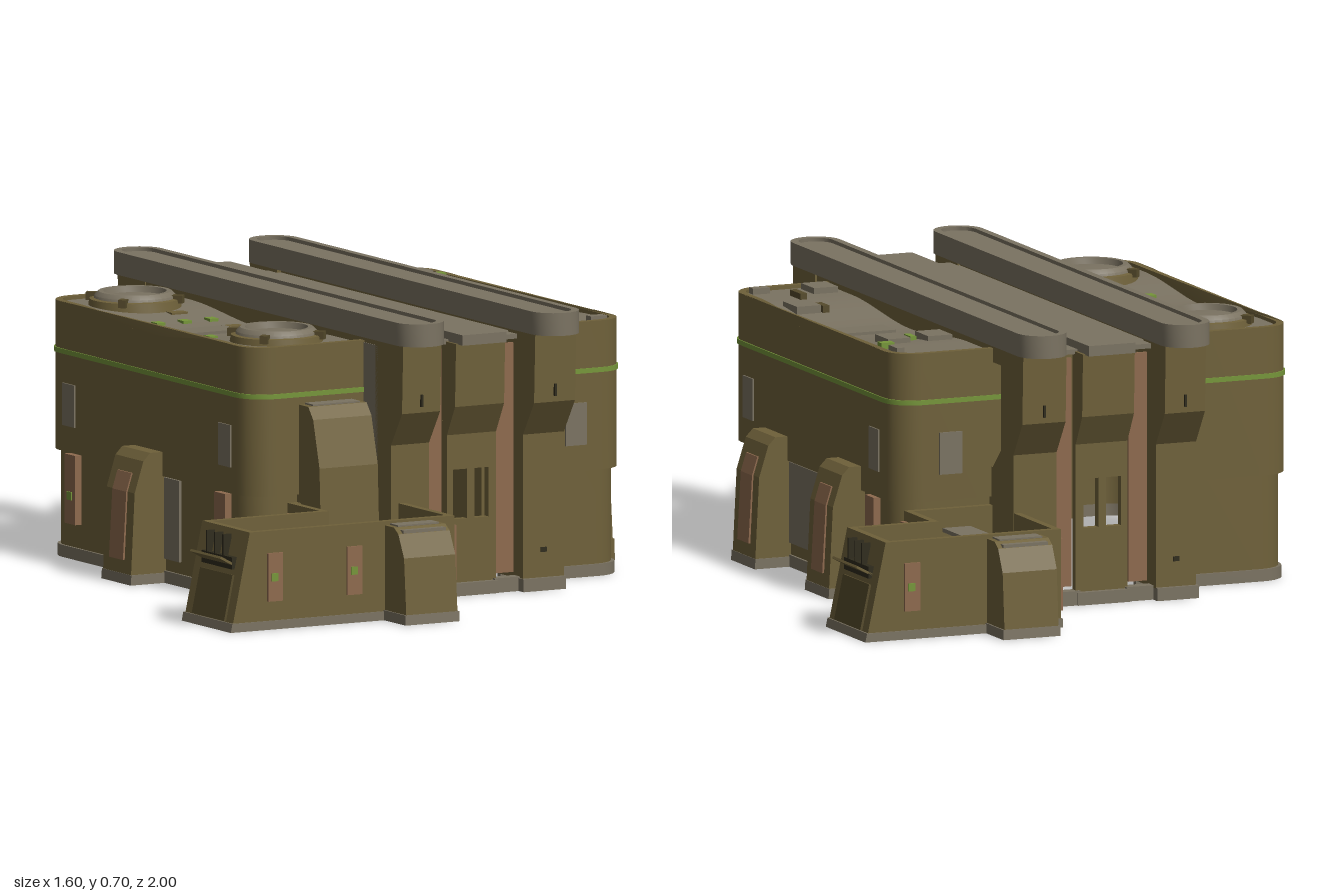
import * as THREE from 'three';
import { toCreasedNormals } from 'three/addons/utils/BufferGeometryUtils.js';

const mat = (name, color) => Object.assign(new THREE.MeshStandardMaterial({ color }), { name });
const olive = mat('olive', 0x6f613a);
const grey = mat('grey', 0x7b7362);
const rust = mat('rust', 0x8e6a4e);
const green = mat('green', 0x76963a);
const dark = mat('dark', 0x2f2b1c);
const shade = mat('dark olive', 0x564b2c);
grey.side = THREE.DoubleSide;

const add = (parent, name, geo, m) => {
  const mesh = new THREE.Mesh(geo, m);
  mesh.name = name;
  parent.add(mesh);
  return mesh;
};
const box = (p, name, m, x0, x1, y0, y1, z0, z1) =>
  add(p, name, new THREE.BoxGeometry(x1 - x0, y1 - y0, z1 - z0)
    .translate((x0 + x1) / 2, (y0 + y1) / 2, (z0 + z1) / 2), m);

// plan outline [x, z] raised from y0 to y1, with an optional hole
function planGeo(pts, y0, y1, hole) {
  const wind = (a, clockwise) => {
    const v = a.map(([x, z]) => new THREE.Vector2(x, -z));
    return THREE.ShapeUtils.isClockWise(v) === clockwise ? v : v.reverse();
  };
  const s = new THREE.Shape(wind(pts, false));
  if (hole) s.holes.push(new THREE.Path(wind(hole, true)));
  return new THREE.ExtrudeGeometry(s, { depth: y1 - y0, bevelEnabled: false })
    .rotateX(-Math.PI / 2).translate(0, y0, 0);
}
// side profile [z, y] swept from x0 to x1
function sideGeo(pts, x0, x1) {
  const s = new THREE.Shape(pts.map(([z, y]) => new THREE.Vector2(z, y)));
  return new THREE.ExtrudeGeometry(s, { depth: x1 - x0, bevelEnabled: false })
    .rotateY(-Math.PI / 2).translate(x1, 0, 0);
}
function bend(geo, rule) {
  const p = geo.attributes.position, v = new THREE.Vector3();
  for (let i = 0; i < p.count; i++) {
    rule(v.fromBufferAttribute(p, i));
    p.setXYZ(i, v.x, v.y, v.z);
  }
  geo.computeVertexNormals();
  return geo;
}
const smooth = (geo) => toCreasedNormals(geo, 0.6);

// the roof line sags in the middle
const sag = (z) => (Math.abs(z) < 0.36 ? 0.013 * (1 + Math.cos(Math.PI * z / 0.36)) : 0);

// three-sided path round a block, open towards the spine at xi
function podPath(xi, xo, zr, r) {
  const s = Math.sign(xo - xi), pts = [[xi, -zr]], n = 20;
  const corner = (k, a) => pts.push([xo - s * r * (1 - Math.cos(a)), k * (zr - r + r * Math.sin(a))]);
  for (let i = 6; i > 0; i--) corner(-1, i / 6 * Math.PI / 2);
  for (let i = 0; i <= n; i++) pts.push([xo, (zr - r) * (2 * i / n - 1)]);
  for (let i = 1; i <= 6; i++) corner(1, i / 6 * Math.PI / 2);
  pts.push([xi, zr]);
  return pts;
}

function pod(parent, name, xi, xo) {
  const g = new THREE.Group(), s = Math.sign(xo - xi);
  g.name = name;
  parent.add(g);
  // wall of thickness t, standing out from the block face by o
  const wallGeo = (o, t, y0, y1) => planGeo([...podPath(xi, xo + s * o, 0.51 + o, 0.075),
    ...podPath(xi, xo + s * (o - t), 0.51 + o - t, 0.075 - t).reverse()], y0, y1);
  add(g, 'plinth', smooth(wallGeo(-0.004, 0.015, 0, 0.03)), grey);
  add(g, 'lowerWall', smooth(wallGeo(-0.01, 0.01, 0.03, 0.27)), olive);
  add(g, 'upperWall', smooth(bend(wallGeo(0, 0.018, 0.265, 0.635), (v) => { if (v.y > 0.5) v.y -= sag(v.z); })), olive);
  add(g, 'lightStripe', smooth(wallGeo(0.003, 0.006, 0.507, 0.519)), green);
  // roof sheet, narrowed at its rounded ends
  const roof = new THREE.PlaneGeometry(1, 0.99, 1, 60).rotateX(-Math.PI / 2);
  add(g, 'roof', bend(roof, (v) => {
    const e = Math.max(0, Math.abs(v.z) - 0.435), cut = 0.06 - Math.sqrt(Math.max(0, 0.0036 - e * e));
    const lo = Math.min(xi, xo) + 0.012, hi = Math.max(xi, xo) - 0.012;
    const outer = v.x * s > 0;
    v.x = (v.x > 0 ? hi : lo) - (outer ? s * cut : 0);
    v.y = 0.626 - sag(v.z);
  }), grey);
  // side windows, vents and loading panel
  const onSide = (n, m, out, y0, y1, z0, z1) =>
    box(g, n, m, Math.min(xo - s * 0.012, xo + s * out), Math.max(xo - s * 0.012, xo + s * out), y0, y1, z0, z1);
  for (const k of [-1, 1]) {
    onSide('sideWindow', grey, 0.004, 0.33, 0.435, k * 0.385 - 0.03, k * 0.385 + 0.03);
    onSide('sideVent', rust, 0.008, 0.09, 0.262, k * 0.37 - 0.027, k * 0.37 + 0.027);
    onSide('ventLight', green, 0.011, 0.15, 0.17, k * 0.37 - 0.012, k * 0.37 + 0.012);
  }
  onSide('loadingPanel', grey, -0.004, 0.06, 0.262, -0.15, 0.15);
  return g;
}

// sloped buttress: back against z = 0, leaning out along +z
function buttress(parent, name, w, h, d, panel) {
  const g = new THREE.Group();
  g.name = name;
  parent.add(g);
  const prof = [[-0.02, 0], [d, 0], [d * 0.88, h * 0.7], [d * 0.62, h * 0.94], [d * 0.42, h], [-0.02, h]];
  add(g, 'buttressBody', sideGeo(prof, -w / 2, w / 2), olive);
  add(g, 'buttressFoot', sideGeo([[0, 0], [d + 0.002, 0], [d, 0.025], [0, 0.025]], -w / 2 - 0.004, w / 2 + 0.004), grey);
  if (panel) {
    add(g, 'buttressPanel', sideGeo([[0, h * 0.18], [d * 0.97 + 0.005, h * 0.18], [d * 0.88 + 0.004, h * 0.7],
      [d * 0.75 + 0.002, h * 0.84], [0, h * 0.84]], -w * 0.25, w * 0.25), rust);
  } else {
    box(g, 'buttressCap', grey, -w * 0.4, w * 0.4, h, h + 0.004, 0, d * 0.38);
  }
  return g;
}

// open-topped outer yard; d moves its inner part away from the spine
function annex(parent, name, d) {
  const g = new THREE.Group();
  g.name = name;
  parent.add(g);
  const n = -0.41 - d, i = -0.16 - d, t = 0.018, H = 0.245;
  const outline = (e) => [[-0.74 + e, 0.655 + e], [n + e, 0.655 + e], [n + e, 0.5 + e], [i - e, 0.5 + e],
    [i - e, 0.89 - e], [-0.74 + e, 0.89 - e]];
  const slope = (geo) => bend(geo, (v) => { if (v.x < -0.7) v.x -= 0.052 * (1 - v.y / H); });
  add(g, 'yardWall', slope(planGeo(outline(0), 0.02, H, outline(t))), olive);
  add(g, 'yardSill', slope(planGeo(outline(-0.004), 0, 0.022, outline(0.012))), grey);
  box(g, 'innerPlate', grey, -0.32 - d, -0.245 - d, 0.19, 0.2, 0.7, 0.84);
  box(g, 'innerPlate', grey, -0.32 - d, -0.245 - d, 0.19, 0.2, 0.53, 0.66);
  box(g, 'innerBench', grey, -0.69, -0.615, 0.16, 0.17, 0.7, 0.84);
  box(g, 'benchBack', olive, -0.735, -0.69, 0.16, 0.2, 0.7, 0.84);
  const b = buttress(g, 'yardButtress', 0.145, 0.235, 0.108, false);
  b.position.set(-0.285 - d, 0, 0.89);
  box(g, 'buttressSlot', grey, -0.345 - d, -0.225 - d, 0.222, 0.23, 0.935, 0.96);
  // wall vents
  for (const x of d ? [-0.67] : [-0.67, -0.445]) {
    box(g, 'frontVent', rust, x - 0.021, x + 0.021, 0.07, 0.19, 0.89, 0.896);
    box(g, 'ventLight', green, x - 0.012, x + 0.006, 0.12, 0.14, 0.89, 0.899);
  }
  for (const z of [0.755, 0.853]) box(g, 'innerVent', rust, i, i + 0.009, 0.04, 0.22, z - 0.031, z + 0.031);
  for (const z of [0.535, 0.608]) box(g, 'neckVent', rust, n - 0.012, n, 0.04, 0.22, z - 0.03, z + 0.03);
  // end gate with vent, hood and prongs
  const gate = add(g, 'endGate', new THREE.BoxGeometry(0.008, 0.115, 0.16), shade);
  gate.position.set(-0.777, 0.08, 0.775);
  gate.rotation.z = -0.21;
  box(g, 'gateVent', dark, -0.768, -0.75, 0.15, 0.18, 0.7, 0.85);
  const hood = add(g, 'gateHood', new THREE.BoxGeometry(0.058, 0.006, 0.15), olive);
  hood.position.set(-0.774, 0.168, 0.775);
  hood.rotation.z = -0.5;
  for (const z of [0.725, 0.765, 0.805]) box(g, 'prong', dark, -0.768, -0.745, 0.17, 0.232, z - 0.003, z + 0.003);
  return g;
}

// long plan shape with half-round ends
function stadium(x, w, len) {
  const r = w / 2, pts = [];
  for (const s of [1, -1]) for (let k = 0; k <= 12; k++) {
    const a = k / 12 * Math.PI;
    pts.push([x + s * r * Math.cos(a), s * (len - r + r * Math.sin(a))]);
  }
  return pts;
}

export function createModel() {
  const root = new THREE.Group();
  root.name = 'fortifiedBuilding';
  const left = pod(root, 'hatchBlock', -0.10, -0.52);
  const right = pod(root, 'serviceBlock', 0.19, 0.548);

  // front and back windows of the service block
  for (const z of [0.512, -0.512]) box(right, 'endWindow', grey, 0.37, 0.43, 0.33, 0.435, z - 0.003, z + 0.003);
  box(right, 'cornerStep', olive, 0.52, 0.562, 0.02, 0.075, 0.39, 0.42);

  // roof hatches
  for (const z of [-0.35, 0.35]) {
    const h = new THREE.Group();
    h.name = 'roofHatch';
    h.position.set(-0.355, 0, z);
    left.add(h);
    const lathe = (pts) => smooth(new THREE.LatheGeometry(pts.map(([x, y]) => new THREE.Vector2(x, y)), 32));
    add(h, 'hatchBase', lathe([[0.118, 0.61], [0.112, 0.642], [0.095, 0.645]]), olive);
    add(h, 'hatchRing', lathe([[0.104, 0.63], [0.1, 0.65], [0.09, 0.66], [0.078, 0.66], [0.074, 0.645], [0, 0.65]]), grey);
    for (let k = 0; k < 4; k++) {
      const c = add(h, 'hatchClamp', new THREE.BoxGeometry(0.03, 0.02, 0.02), shade);
      const a = k * Math.PI / 2 + Math.PI / 4;
      c.position.set(0.108 * Math.cos(a), 0.643, 0.108 * Math.sin(a));
      c.rotation.y = -a;
    }
  }
  // roof fittings: [x, z, width, depth, height, material]
  const fit = (p, n, [x, z, w, d, h, m]) => {
    const y = 0.626 - sag(z);
    box(p, n, m, x - w / 2, x + w / 2, y - 0.01, y + h, z - d / 2, z + d / 2);
  };
  for (const x of [-0.415, -0.34, -0.265]) for (const z of [-0.13, 0.13]) fit(left, 'roofLight', [x, z, 0.024, 0.03, 0.006, green]);
  fit(left, 'roofPlate', [-0.35, 0, 0.14, 0.08, 0.008, grey]);
  for (const [x, z] of [[-0.43, -0.075], [-0.31, -0.22], [-0.25, -0.05]]) fit(left, 'wornPatch', [x, z, 0.045, 0.03, 0.003, olive]);
  [[0.41, 0, 0.14, 0.08, 0.008, grey], [0.335, -0.26, 0.065, 0.08, 0.015, grey], [0.445, -0.26, 0.06, 0.08, 0.015, grey],
    [0.39, -0.24, 0.016, 0.04, 0.012, green], [0.465, 0.25, 0.065, 0.085, 0.015, grey], [0.335, 0.44, 0.065, 0.08, 0.015, grey],
    [0.42, 0.375, 0.018, 0.065, 0.015, shade], [0.485, 0.465, 0.045, 0.025, 0.015, grey], [0.42, 0.23, 0.018, 0.05, 0.015, shade],
    [0.505, -0.42, 0.02, 0.05, 0.015, grey], [0.505, -0.355, 0.035, 0.025, 0.015, green],
  ].forEach((f) => fit(right, 'roofFitting', f));

  // central spine: twin beams on columns
  const spine = new THREE.Group();
  spine.name = 'spine';
  root.add(spine);
  for (const x of [-0.148, 0.235]) {
    add(spine, 'beam', smooth(planGeo(stadium(x, 0.126, 0.752), 0.645, 0.702, stadium(x, 0.088, 0.733))), grey);
    add(spine, 'beamDeck', smooth(planGeo(stadium(x, 0.09, 0.734), 0.645, 0.693)), grey);
    box(spine, 'beamWeb', olive, x - 0.05, x + 0.05, 0.6, 0.646, -0.57, 0.57);
  }
  box(spine, 'spineRoof', grey, -0.1, 0.19, 0.625, 0.637, -0.615, 0.615);
  box(spine, 'spineRidge', grey, -0.02, 0.105, 0.63, 0.656, -0.685, 0.685);
  box(spine, 'gapPanel', grey, -0.2, -0.19, 0.34, 0.63, 0.505, 0.58);
  const end = (name, turn) => {
    const g = new THREE.Group();
    g.name = name;
    if (turn) g.scale.z = -1;
    spine.add(g);
    for (const [x0, x1] of [[-0.2, -0.092], [0.174, 0.29]]) {
      const x = (x0 + x1) / 2;
      add(g, 'column', sideGeo([[0.5, 0.03], [0.645, 0.03], [0.645, 0.39], [0.7, 0.475], [0.706, 0.646],
        [0.57, 0.646], [0.57, 0.39], [0.518, 0.34], [0.5, 0.34]], x0, x1), olive);
      box(g, 'columnFoot', grey, x0 - 0.004, x1, 0, 0.032, 0.61, 0.655);
      box(g, 'columnSlot', dark, x - 0.008, x + 0.008, 0.095, 0.107, 0.64, 0.648);
      box(g, 'columnSlot', dark, x - 0.003, x + 0.003, 0.49, 0.52, 0.69, 0.707);
    }
    // middle column with two slit windows
    const s = new THREE.Shape([[-0.027, 0.03], [0.112, 0.03], [0.112, 0.4], [-0.027, 0.4]].map((p) => new THREE.Vector2(...p)));
    for (const x of [-0.01, 0.051]) s.holes.push(new THREE.Path(
      [[x, 0.19], [x, 0.313], [x + 0.04, 0.313], [x + 0.04, 0.19]].map((p) => new THREE.Vector2(...p))));
    add(g, 'middleColumn', new THREE.ExtrudeGeometry(s, { depth: 0.02, bevelEnabled: false }).translate(0, 0, 0.6), olive);
    add(g, 'middleColumnTop', sideGeo([[0.6, 0.4], [0.62, 0.4], [0.66, 0.475], [0.665, 0.632], [0.6, 0.632]], -0.027, 0.112), olive);
    box(g, 'middleFoot', grey, -0.027, 0.112, 0, 0.032, 0.6, 0.635);
    for (const x of [-0.06, 0.143]) {
      box(g, 'slotPanel', rust, x - 0.025, x + 0.025, 0.045, 0.615, 0.6, 0.608);
      box(g, 'slotSill', grey, x - 0.04, x + 0.04, 0, 0.036, 0.6, 0.63);
    }
  };
  end('spineFront', false);
  end('spineBack', true);

  // buttresses against the blocks
  for (const z of [-0.232, 0.22]) {
    const b = buttress(right, 'sideButtress', 0.138, 0.325, 0.095, true);
    b.position.set(0.54, 0, z);
    b.rotation.y = Math.PI / 2;
  }
  const lb = buttress(left, 'sideButtress', 0.138, 0.325, 0.095, true);
  lb.position.set(-0.515, 0, 0.005);
  lb.rotation.y = -Math.PI / 2;
  buttress(left, 'tallButtress', 0.165, 0.488, 0.12, false).position.set(-0.3, 0, 0.505);

  annex(root, 'frontYard', 0);
  annex(root, 'backYard', 0.11).rotation.y = Math.PI;
  return root;
}
